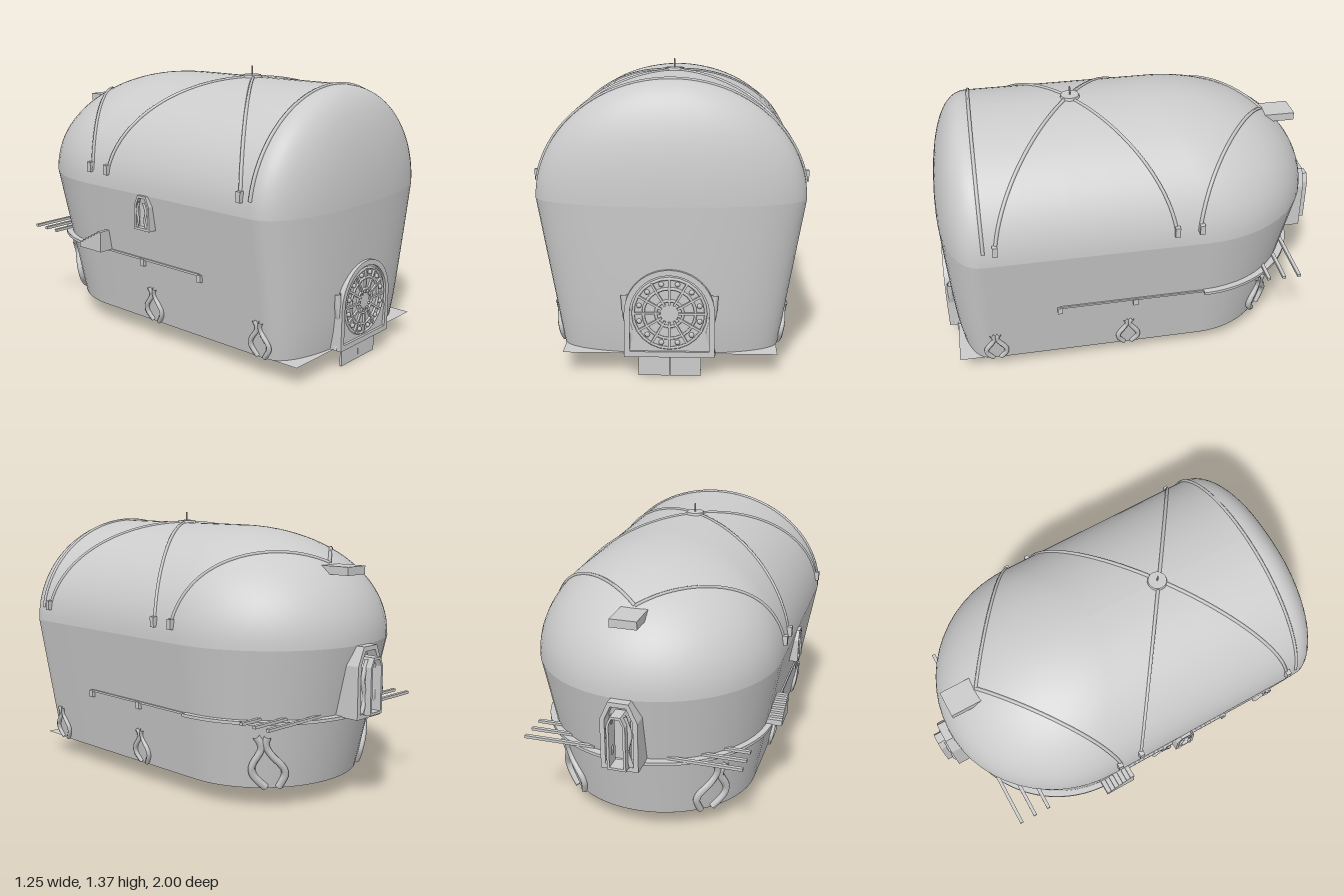
import * as THREE from 'three';

const grey = new THREE.MeshStandardMaterial({ color: 0xcccccc, side: THREE.DoubleSide });
const lerp = THREE.MathUtils.lerp;
const V = (x, y, z) => new THREE.Vector3(x, y, z);
const BASE = 0.1, WAIST = 0.78, TOP = 1.31, FRONT = 0.78, POW = 2.3;

// Plan outline of the shell at a height: half width, front, back and start of the back curve
function level(y) {
  if (y <= WAIST) {
    const t = (y - BASE) / (WAIST - BASE);
    return { y, w: lerp(0.49, 0.61, t), zf: 0.945 + 0.05 * Math.max(t, 0) ** 0.6, zb: lerp(-0.765, -0.92, t), zc: -0.3 };
  }
  const s = Math.min(1, (y - WAIST) / (TOP - WAIST)), c = Math.sqrt(1 - s * s);
  return { y, w: 0.61 * c, zf: FRONT + 0.215 * c ** 0.85, zb: -0.1 - 0.82 * c ** 0.9, zc: -0.3 + 0.2 * s ** 3 };
}

// Half width of the shell at height y and depth z
function xAt(y, z) {
  const L = level(y);
  if (z > FRONT) return L.w * Math.max(0, 1 - ((z - FRONT) / (L.zf - FRONT + 1e-6)) ** POW) ** (1 / POW);
  if (z < L.zc) return L.w * Math.sqrt(Math.max(0, 1 - ((z - L.zc) / (L.zb - L.zc - 1e-6)) ** 2));
  return L.w;
}

// Height of the dome above a point of the plan
function domeY(x, z) {
  let lo = WAIST, hi = TOP;
  for (let i = 0; i < 24; i++) {
    const mid = (lo + hi) / 2;
    if (xAt(mid, z) > Math.abs(x)) lo = mid; else hi = mid;
  }
  return lo;
}

// Closed ring of the shell, from +x over the front to -x and round the back
function ring(L) {
  const pts = [], n = 28, p = 2 / POW;
  for (let i = 0; i <= n; i++) {
    const a = (Math.PI * i) / n, c = Math.cos(a);
    pts.push([L.w * Math.sign(c) * Math.abs(c) ** p, L.y, FRONT + (L.zf - FRONT) * Math.max(0, Math.sin(a)) ** p]);
  }
  for (let i = 1; i < 5; i++) pts.push([-L.w, L.y, lerp(FRONT, L.zc, i / 5)]);
  for (let i = 0; i <= n; i++) {
    const a = (Math.PI * i) / n;
    pts.push([-L.w * Math.cos(a), L.y, L.zc + (L.zb - L.zc) * Math.sin(a)]);
  }
  for (let i = 1; i < 5; i++) pts.push([L.w, L.y, lerp(L.zc, FRONT, i / 5)]);
  return pts;
}

function loft(heights) {
  const rings = heights.map((y) => ring(level(y))), n = rings[0].length, index = [];
  for (let j = 0; j < rings.length - 1; j++) for (let i = 0; i < n; i++) {
    const a = j * n + i, b = j * n + ((i + 1) % n);
    index.push(a, a + n, b, b, a + n, b + n);
  }
  const g = new THREE.BufferGeometry();
  g.setAttribute('position', new THREE.Float32BufferAttribute(rings.flat(2), 3));
  g.setIndex(index);
  g.computeVertexNormals();
  return g;
}

// Arched (round) or gabled outline standing on y = 0
function outline(w, h, round, C = THREE.Shape) {
  const s = new C();
  s.moveTo(-w, 0); s.lineTo(w, 0); s.lineTo(w, h - w);
  if (round) s.absarc(0, h - w, w, 0, Math.PI, false);
  else { s.lineTo(w * 0.55, h); s.lineTo(-w * 0.55, h); s.lineTo(-w, h - w); }
  s.lineTo(-w, 0);
  return s;
}

function frameGeometry(w, h, t, depth, round) {
  const s = outline(w, h, round);
  const hole = outline(w - t, h - 2 * t, round, THREE.Path).getPoints(12).map((p) => p.add(new THREE.Vector2(0, t)));
  s.holes.push(new THREE.Path(hole));
  return new THREE.ExtrudeGeometry(s, { depth, bevelEnabled: false, curveSegments: 12 });
}

export function createModel() {
  const model = new THREE.Group();
  const add = (name, geo, x = 0, y = 0, z = 0, parent = model) => {
    const m = new THREE.Mesh(geo, grey);
    m.name = name;
    m.position.set(x, y, z);
    parent.add(m);
    return m;
  };
  const box = (name, w, h, d, x, y, z, parent) => add(name, new THREE.BoxGeometry(w, h, d), x, y, z, parent);
  const tube = (name, pts, r, sides = 5, parent = model) =>
    add(name, new THREE.TubeGeometry(new THREE.CatmullRomCurve3(pts), pts.length * 3, r, sides), 0, 0, 0, parent);

  // Shell
  add('lowerWall', loft(Array.from({ length: 9 }, (_, i) => lerp(BASE, WAIST, i / 8))));
  add('dome', loft(Array.from({ length: 25 }, (_, i) => WAIST + (TOP - WAIST) * Math.sin((Math.PI / 2) * (i / 24)))));

  // Floor with square front corners
  const floor = new THREE.Shape();
  floor.moveTo(-0.48, 0.95); floor.lineTo(-0.49, -0.3);
  floor.absellipse(0, -0.3, 0.49, 0.465, Math.PI, Math.PI * 2, false);
  floor.lineTo(0.48, 0.95);
  add('floor', new THREE.ShapeGeometry(floor, 24).rotateX(Math.PI / 2), 0, BASE, 0);
  for (const z of [0.31, 0.13]) box('floorPeg', 0.04, 0.035, 0.04, 0, 0.085, z);

  // Roof ribs: a crossing pair, a rear pair and a front hoop
  const rib = (name, x0, z0, x1, z1) => {
    const pts = [];
    for (let i = 0; i <= 28; i++) {
      const u = x0 * x1 < 0 ? (1 - Math.cos((Math.PI * i) / 28)) / 2 : 1 - Math.cos((Math.PI * i) / 56);
      const x = lerp(x0, x1, u), z = lerp(z0, z1, u);
      pts.push(V(x, domeY(x, z), z));
    }
    tube(name, pts, 0.009);
  };
  for (const s of [1, -1]) {
    rib('crossRib', s * 0.604, 0.72, -s * 0.604, -0.14);
    rib('rearRib', s * 0.604, -0.25, 0, -0.71);
    for (const z of [0.72, -0.14, -0.26]) box('ribFoot', 0.025, 0.05, 0.025, s * 0.61, 0.87, z);
  }
  rib('frontHoop', 0.604, 0.775, -0.604, 0.775);

  // Roof cap and rear hood
  add('roofCap', new THREE.CylinderGeometry(0.045, 0.05, 0.02, 16), 0, 1.312, 0.28);
  add('roofPin', new THREE.CylinderGeometry(0.004, 0.004, 0.05, 6), 0, 1.34, 0.28);
  box('rearHood', 0.13, 0.04, 0.17, 0, 1.12, -0.785);

  // Rear walkway, poles and side rails
  const walk = new THREE.Shape();
  walk.absellipse(0, -0.3, 0.58, 0.58, Math.PI, Math.PI * 2, false);
  add('walkway', new THREE.ExtrudeGeometry(walk, { depth: 0.015, bevelEnabled: false, curveSegments: 32 }).rotateX(Math.PI / 2), 0, 0.445, 0);
  for (const s of [1, -1]) {
    for (const z of [-0.65, -0.73, -0.81]) box('pole', 0.36, 0.014, 0.018, s * 0.36, 0.45, z);
    const wall = xAt(0.435, 0) + 0.003;
    box('sideRail', 0.012, 0.01, 0.74, s * wall, 0.437, 0.06);
    for (const z of [0.43, 0.05]) box('railBracket', 0.02, 0.035, 0.025, s * wall, 0.42, z);
  }

  // Stairs rising from the walkway along the right wall
  for (let i = 0; i < 7; i++) {
    const h = 0.03 + i * 0.0125;
    box('stair', 0.085, h, 0.023, -0.585, 0.44 + h / 2, -0.33 + i * 0.023);
  }

  // Pairs of curtains hugging the lower wall
  const curtain = (s, z0, dir, h, r, bulge) => {
    const pts = [];
    for (let i = 0; i <= 8; i++) {
      const t = i / 8, y = BASE + 0.005 + h * t;
      const z = z0 + dir * (0.03 + 0.022 * Math.sin(t * Math.PI * 2 - 0.5));
      const swell = bulge * Math.sin(Math.PI * Math.min(1, t * 1.2 + 0.1));
      pts.push(V(s * (xAt(y, z) + swell), y, z));
    }
    tube('curtain', pts, r, 6);
  };
  for (const s of [1, -1]) for (const d of [1, -1]) {
    curtain(s, -0.65, d, 0.26, 0.018, 0.012);
    curtain(s, 0.76, d, 0.18, 0.012, 0.008);
    curtain(s, 0.08, d, 0.18, 0.012, 0.008);
  }

  // Framed windows: a bay at the back and a small one in the right wall
  const windowGroup = (name, w, h, depth) => {
    const g = new THREE.Group();
    g.name = name;
    add('frame', frameGeometry(w, h, w * 0.25, depth, false), 0, 0, 0, g);
    add('pane', new THREE.ExtrudeGeometry(outline(w * 0.9, h * 0.95, false), { depth: depth * 0.5, bevelEnabled: false }), 0, 0.005, 0, g);
    for (const s of [1, -1]) tube('drape', [V(s * w * 0.3, h * 0.82, depth), V(s * w * 0.6, h * 0.55, depth),
      V(s * w * 0.42, h * 0.3, depth), V(s * w * 0.65, h * 0.08, depth)], w * 0.13, 6, g);
    model.add(g);
    return g;
  };
  const bay = windowGroup('rearBay', 0.09, 0.34, 0.13);
  bay.position.set(0, 0.44, -0.83);
  bay.rotation.y = Math.PI;
  add('bayInnerFrame', frameGeometry(0.045, 0.27, 0.012, 0.08, false), 0, 0.46, -1.0);
  const side = windowGroup('sideWindow', 0.05, 0.17, 0.05);
  side.position.set(-0.575, 0.61, 0.12);
  side.rotation.y = -Math.PI / 2;

  // Arched front gate with a lattice of rings, spokes and studs
  const gate = new THREE.Group();
  gate.name = 'frontGate';
  gate.position.set(0, BASE, 0.93);
  model.add(gate);
  add('gateFrame', frameGeometry(0.2, 0.4, 0.025, 0.065, true), 0, 0, 0, gate);
  add('gatePanel', new THREE.ExtrudeGeometry(outline(0.18, 0.38, true), { depth: 0.053, bevelEnabled: false }), 0, 0, 0, gate);
  for (const r of [0.06, 0.115, 0.16]) add('gateRing', new THREE.TorusGeometry(r, 0.007, 5, 24), 0, 0.2, 0.056, gate);
  for (let i = 0; i < 12; i++) {
    const a = (i / 12) * Math.PI * 2;
    const spoke = box('gateSpoke', 0.12, 0.01, 0.014, Math.cos(a) * 0.1, 0.2 + Math.sin(a) * 0.1, 0.056, gate);
    spoke.rotation.z = a;
    add('gateStud', new THREE.SphereGeometry(0.012, 6, 4), Math.cos(a + 0.26) * 0.138, 0.2 + Math.sin(a + 0.26) * 0.138, 0.056, gate);
  }
  for (const s of [1, -1]) {
    tube('gateDrape', [V(s * 0.2, 0.28, 0.035), V(s * 0.19, 0.18, 0.04), V(s * 0.17, 0.1, 0.04), V(s * 0.19, 0, 0.03)], 0.018, 6, gate);
    // Hanging flaps below the gate
    box('gateFlap', 0.138, 0.13, 0.01, s * 0.07, 0.065, 0.955);
  }
  return model;
}
